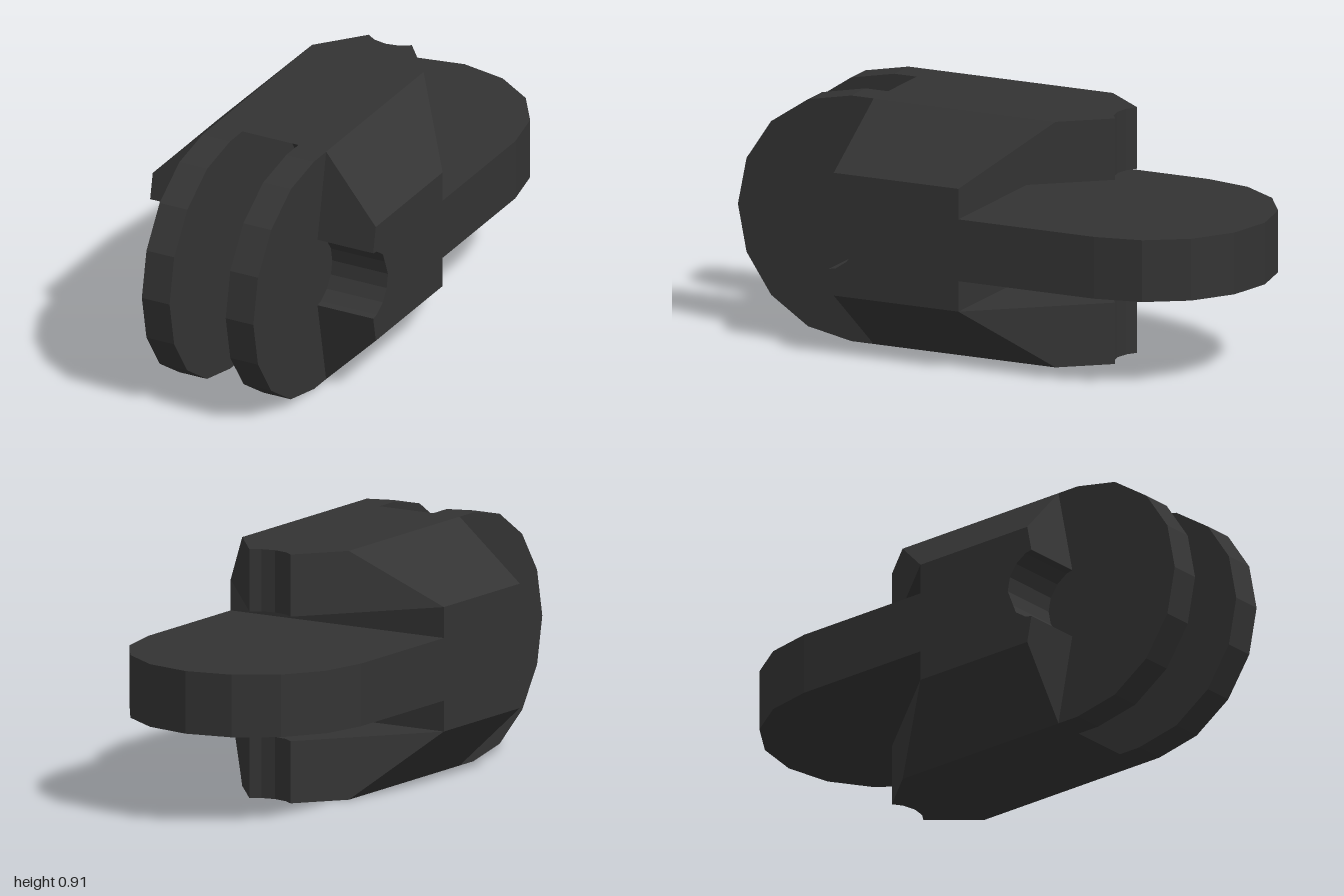
import * as THREE from 'three';
import { ConvexGeometry } from 'three/addons/geometries/ConvexGeometry.js';

const R = 0.455;      // half height, half width and knuckle radius
const H = R / 2;      // octagon corner offset
const T = 0.1145;     // half thickness of tongue and slot
const PIN = 0.545;    // pivot distance from the middle
const HEAD = 0.136;   // radius of the clearance around the pivot

// Points of a 16-sided circle, from step a to step b
function arc(cu, cv, r, a, b) {
  const pts = [];
  const dir = Math.sign(b - a);
  for (let i = a; i !== b + dir; i += dir) {
    const t = (i * Math.PI) / 8;
    pts.push([cu + r * Math.cos(t), cv + r * Math.sin(t)]);
  }
  return pts;
}

function extrude(pts, depth) {
  const shape = new THREE.Shape(pts.map(([u, v]) => new THREE.Vector2(u, v)));
  return new THREE.ExtrudeGeometry(shape, { depth, bevelEnabled: false });
}

// Profile of (z, y) points, extruded from x0 to x1
const alongX = (pts, x0, x1) => extrude(pts, x1 - x0).rotateY(-Math.PI / 2).translate(x1, 0, 0);
// Profile of (x, z) points, extruded from y0 to y1
const alongY = (pts, y0, y1) => extrude(pts, y1 - y0).rotateX(Math.PI / 2).translate(0, y1, 0);

export function createModel() {
  const model = new THREE.Group();
  const charcoal = new THREE.MeshStandardMaterial({ color: 0x333333 });
  charcoal.name = 'charcoal';

  function add(name, geometry, turn = 0) {
    const mesh = new THREE.Mesh(geometry, charcoal);
    mesh.name = name;
    mesh.rotation.z = turn;
    mesh.position.y = R;
    model.add(mesh);
  }

  // Middle web, hollowed in front to form the round slot floor
  add('middleWeb', alongX([[0, -R], ...arc(R, 0, R, 12, 4), [0, R]], -T, T));

  // Flat rounded tongue at the back
  add('tongue', alongY([[R, 0], ...arc(0, -PIN, R, 0, -8), [-R, 0]], -T, T));

  // Cheek: chamfered side block with a pin clearance in its front edge
  const cheek = alongX([
    [0, -R], [R, -R], [0.52, -0.131],
    ...arc(PIN, 0, HEAD, 11, 5),
    [0.52, 0.131], [R, R], [0, R],
  ], H, R);
  const p = cheek.attributes.position;
  for (let i = 0; i < p.count; i++) {
    if (p.getX(i) > R - 0.01 && Math.abs(p.getY(i)) > H) {
      p.setY(i, Math.sign(p.getY(i)) * H);
      if (p.getZ(i) > 0.1) p.setZ(i, R + 0.2 * H);
    }
  }
  cheek.computeVertexNormals();

  // Wing: tapered overhang above the tongue, notched at its tip
  const wing = alongY([
    [H, 0], [H, -0.275], [0.088, -0.4435],
    ...arc(0, -PIN, HEAD, 3, 5),
    [-0.088, -0.4435], [-H, -0.275], [-H, 0],
  ], H, R);
  // Sloping side piece of the wing
  const wingSide = (s) => new ConvexGeometry([
    [H, H, 0], [R, H, 0], [H, H, -0.275], [H, R, 0], [H, R, -0.275],
  ].map(([x, y, z]) => new THREE.Vector3(s * x, y, z)));

  // Knuckle: rounded front lug
  const knuckle = alongX([[0, -R], ...arc(PIN, 0, R, -4, 4), [0, R]], T, H);

  // A half turn about z gives the opposite part
  for (const [turn, side, level] of [[0, 'left', 'upper'], [Math.PI, 'right', 'lower']]) {
    add(side + 'Knuckle', knuckle, turn);
    add(side + 'Cheek', cheek, turn);
    add(level + 'Wing', wing, turn);
    for (const s of [1, -1]) add(level + 'WingSide', wingSide(s), turn);
  }
  return model;
}
